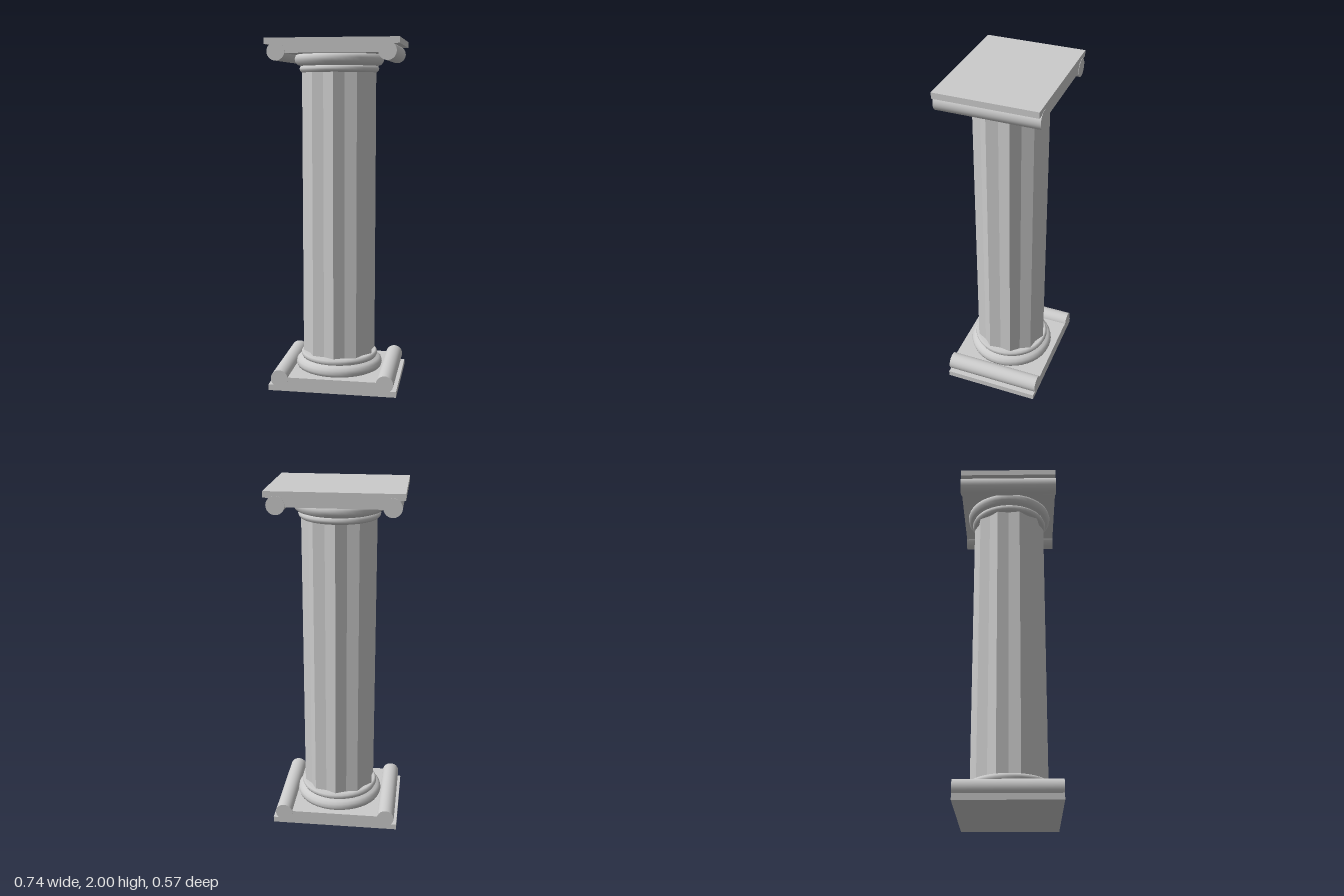
import * as THREE from 'three';

const material = new THREE.MeshStandardMaterial({ color: 0xcccccc });
const flatMaterial = new THREE.MeshStandardMaterial({ color: 0xcccccc, flatShading: true });

function addMesh(parent, name, geometry, mat = material) {
  const mesh = new THREE.Mesh(geometry, mat);
  mesh.name = name;
  parent.add(mesh);
  return mesh;
}

// One end of the column, standing on y = 0: slab, pad, two scroll rolls and turned rings
function createEnd(name) {
  const end = new THREE.Group();
  end.name = name;

  addMesh(end, 'slab', new THREE.BoxGeometry(0.74, 0.034, 0.566)).position.y = 0.017;
  addMesh(end, 'pad', new THREE.BoxGeometry(0.61, 0.05, 0.566)).position.y = 0.057;

  for (const side of [-1, 1]) {
    const roll = addMesh(end, side > 0 ? 'leftRoll' : 'rightRoll',
      new THREE.CylinderGeometry(0.05, 0.05, 0.57, 32));
    roll.rotation.x = Math.PI / 2;
    roll.position.set(side * 0.305, 0.073, 0);
  }

  // Large lower ring and small upper ring
  const rings = {
    largeRing: [[0.235, 0.08], [0.25, 0.088], [0.256, 0.105], [0.252, 0.125], [0.238, 0.14], [0.21, 0.15]],
    smallRing: [[0.21, 0.142], [0.222, 0.147], [0.228, 0.16], [0.225, 0.172], [0.215, 0.182], [0, 0.183]],
  };
  for (const [ringName, points] of Object.entries(rings)) {
    const profile = points.map(([r, y]) => new THREE.Vector2(r, y));
    addMesh(end, ringName, new THREE.LatheGeometry(profile, 40));
  }
  return end;
}

// Shaft with ten shallow V-shaped flutes
function createShaft(bottom, top) {
  const ridges = 10;
  const outline = [];
  for (let i = 0; i < ridges * 2; i++) {
    const angle = (i * Math.PI) / ridges;
    const radius = i % 2 ? 0.195 : 0.215;
    outline.push(new THREE.Vector2(radius * Math.sin(angle), radius * Math.cos(angle)));
  }
  const geometry = new THREE.ExtrudeGeometry(new THREE.Shape(outline), {
    depth: top - bottom,
    bevelEnabled: false,
  });
  geometry.rotateX(-Math.PI / 2);
  geometry.translate(0, bottom, 0);
  return geometry;
}

export function createModel() {
  const model = new THREE.Group();
  model.name = 'column';

  model.add(createEnd('base'));

  // The capital is the base turned upside down
  const capital = createEnd('capital');
  capital.rotation.z = Math.PI;
  capital.position.y = 2;
  model.add(capital);

  addMesh(model, 'shaft', createShaft(0.175, 1.825), flatMaterial);
  return model;
}
